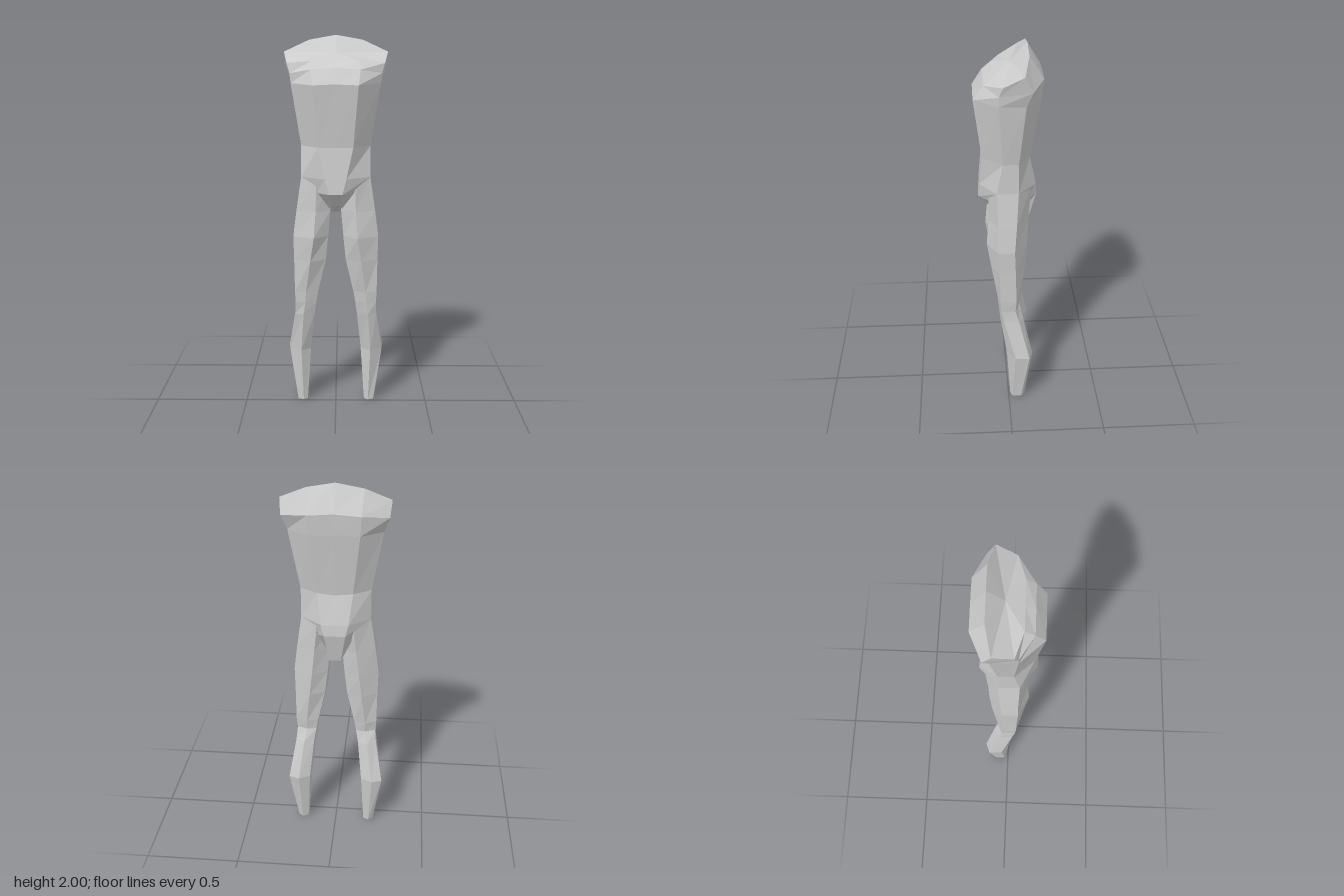
import * as THREE from 'three';

const material = new THREE.MeshStandardMaterial({ color: 0xcccccc, flatShading: true });

// Skin a stack of closed rings (bottom to top, each running front -> +x -> back -> -x)
function loft(name, rings) {
  const pos = [];
  const tri = (a, b, c) => pos.push(...a, ...b, ...c);
  const n = rings[0].length;
  for (let i = 0; i < rings.length - 1; i++) {
    for (let j = 0; j < n; j++) {
      const k = (j + 1) % n;
      const a = rings[i][j], b = rings[i][k], c = rings[i + 1][k], d = rings[i + 1][j];
      tri(a, b, c);
      tri(a, c, d);
    }
  }
  // Flat caps at both ends
  const centre = (r) => [0, 1, 2].map((m) => r.reduce((s, p) => s + p[m], 0) / n);
  const low = rings[0], high = rings[rings.length - 1];
  const lowMid = centre(low), highMid = centre(high);
  for (let j = 0; j < n; j++) {
    const k = (j + 1) % n;
    tri(lowMid, low[k], low[j]);
    tri(highMid, high[j], high[k]);
  }
  const geometry = new THREE.BufferGeometry();
  geometry.setAttribute('position', new THREE.Float32BufferAttribute(pos, 3));
  geometry.computeVertexNormals();
  const mesh = new THREE.Mesh(geometry, material);
  mesh.name = name;
  return mesh;
}

const flip = ([x, y, z]) => [-x, y, z];

// Half sections of the torso: front centre, front, side front, side back, back, back centre
const torsoHalves = [
  [[0, 1.13, 0.08], [0.03, 1.13, 0.08], [0.035, 1.1, 0.04], [0.035, 1.07, -0.05], [0.03, 1.06, -0.11], [0, 1.06, -0.11]],
  [[0, 1.2, 0.15], [0.035, 1.2, 0.15], [0.1, 1.2, 0.09], [0.1, 1.2, -0.09], [0.055, 1.22, -0.15], [0, 1.22, -0.15]],
  [[0, 1.28, 0.145], [0.055, 1.28, 0.145], [0.18, 1.28, 0.06], [0.18, 1.28, -0.05], [0.07, 1.28, -0.145], [0, 1.28, -0.145]],
  [[0, 1.44, 0.13], [0.09, 1.44, 0.13], [0.18, 1.44, 0.03], [0.18, 1.44, -0.05], [0.09, 1.44, -0.11], [0, 1.43, -0.11]],
  [[0, 1.76, 0.17], [0.115, 1.755, 0.17], [0.23, 1.76, 0.05], [0.235, 1.76, -0.08], [0.125, 1.76, -0.16], [0, 1.76, -0.16]],
  [[0, 1.84, 0.12], [0.125, 1.83, 0.12], [0.235, 1.81, 0.05], [0.262, 1.84, -0.11], [0.13, 1.86, -0.17], [0, 1.87, -0.17]],
  [[0, 1.87, 0.072], [0.125, 1.87, 0.072], [0.25, 1.86, 0.032], [0.27, 1.915, -0.068], [0.14, 1.975, -0.098], [0, 2, -0.098]],
];

// Leg rings: height, then x, z of front, outer front, outer back, back, inner back, inner front
const legRows = [
  [0, 0.18, -0.01, 0.21, -0.02, 0.215, -0.07, 0.19, -0.09, 0.16, -0.075, 0.158, -0.025],
  [0.3, 0.19, 0.01, 0.255, -0.035, 0.26, -0.11, 0.205, -0.13, 0.145, -0.1, 0.138, -0.03],
  [0.52, 0.175, 0.045, 0.22, 0.025, 0.222, -0.055, 0.175, -0.08, 0.122, -0.06, 0.115, 0.015],
  [0.59, 0.165, 0.052, 0.217, 0.04, 0.215, -0.035, 0.16, -0.055, 0.11, -0.045, 0.105, 0.025],
  [0.65, 0.16, 0.058, 0.22, 0.045, 0.22, -0.04, 0.16, -0.065, 0.1, -0.05, 0.095, 0.03],
  [0.83, 0.135, 0.09, 0.222, 0.05, 0.222, -0.035, 0.14, -0.09, 0.06, -0.05, 0.053, 0.04],
  [0.96, 0.115, 0.112, 0.225, 0.055, 0.225, -0.03, 0.125, -0.1, 0.045, -0.05, 0.04, 0.045],
  [1.1, 0.105, 0.1, 0.207, 0.055, 0.207, -0.04, 0.11, -0.105, 0.032, -0.05, 0.028, 0.05],
  [1.28, 0.1, 0.1, 0.18, 0.06, 0.18, -0.05, 0.09, -0.12, 0.01, -0.05, 0.01, 0.05],
];

export function createModel() {
  const group = new THREE.Group();
  group.name = 'lowerBody';

  // Torso: mirror each half section into a full ring
  const torsoRings = torsoHalves.map((h) => [...h, ...h.slice(1, -1).reverse().map(flip)]);
  group.add(loft('torso', torsoRings));

  // Legs: the right one mirrors the left
  const legRings = legRows.map(([y, ...xz]) =>
    Array.from({ length: 6 }, (_, i) => [xz[i * 2], y, xz[i * 2 + 1]]));
  group.add(loft('leftLeg', legRings));
  group.add(loft('rightLeg', legRings.map((r) => r.map(flip).reverse())));

  return group;
}
